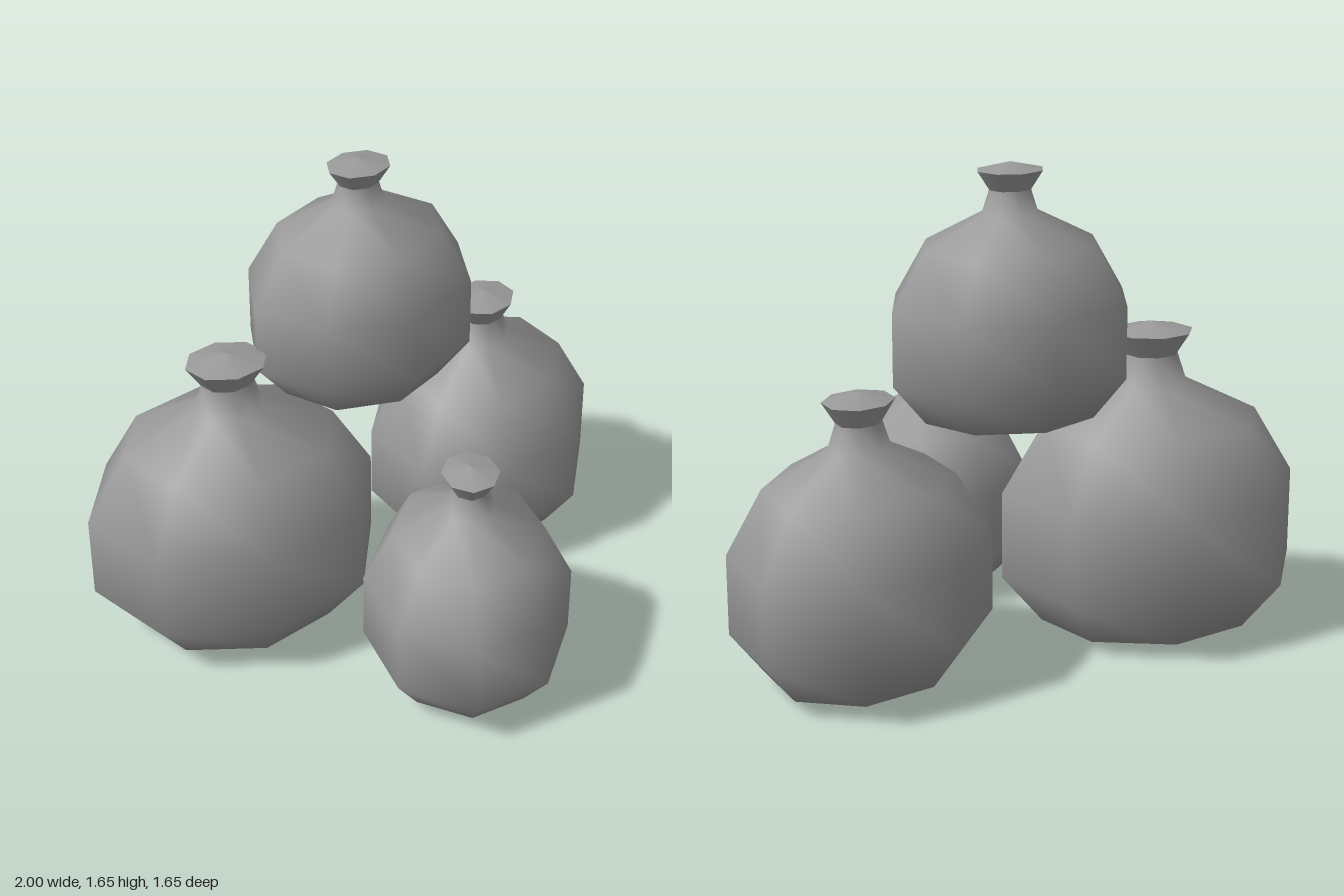
import * as THREE from 'three';

const SIDES = 8;
const DEPTH = 0.85; // sacks are slightly flattened front to back

// Profiles as [radius, height] for a sack one unit tall
const BODY = [[0, 0], [0.353, 0.03], [0.486, 0.19], [0.486, 0.47], [0.353, 0.69], [0.115, 0.81], [0.085, 0.897]];
const RUFFLE = [[0.085, 0.897], [0.134, 0.97]];
const CAP = [[0.134, 0.97], [0, 1]];

function lathe(profile) {
  return new THREE.LatheGeometry(profile.map(([r, y]) => new THREE.Vector2(r, y)), SIDES);
}

export function createModel() {
  const cloth = new THREE.MeshStandardMaterial({ color: 0x999999 });
  cloth.name = 'grey cloth';

  // Separate lathes keep the edges of the tied mouth sharp
  const parts = { sackBody: lathe(BODY), sackRuffle: lathe(RUFFLE), sackCap: lathe(CAP) };

  function sack(name, height, x, y, z, turn) {
    const group = new THREE.Group();
    group.name = name;
    for (const [partName, geometry] of Object.entries(parts)) {
      const mesh = new THREE.Mesh(geometry, cloth);
      mesh.name = partName;
      group.add(mesh);
    }
    group.scale.set(height, height, height * DEPTH);
    group.rotation.y = THREE.MathUtils.degToRad(turn);
    group.position.set(x, y, z);
    return group;
  }

  // Three sacks on the ground with one stacked on top
  const model = new THREE.Group();
  model.name = 'sackPile';
  model.add(
    sack('rightSack', 1.07, -0.48, 0, -0.193, 0),
    sack('frontSack', 0.855, 0.143, 0, 0.432, 70.9),
    sack('leftSack', 0.963, 0.562, 0, -0.402, 39.8),
    sack('topSack', 0.852, 0.04, 0.798, -0.295, 11.7),
  );
  return model;
}
